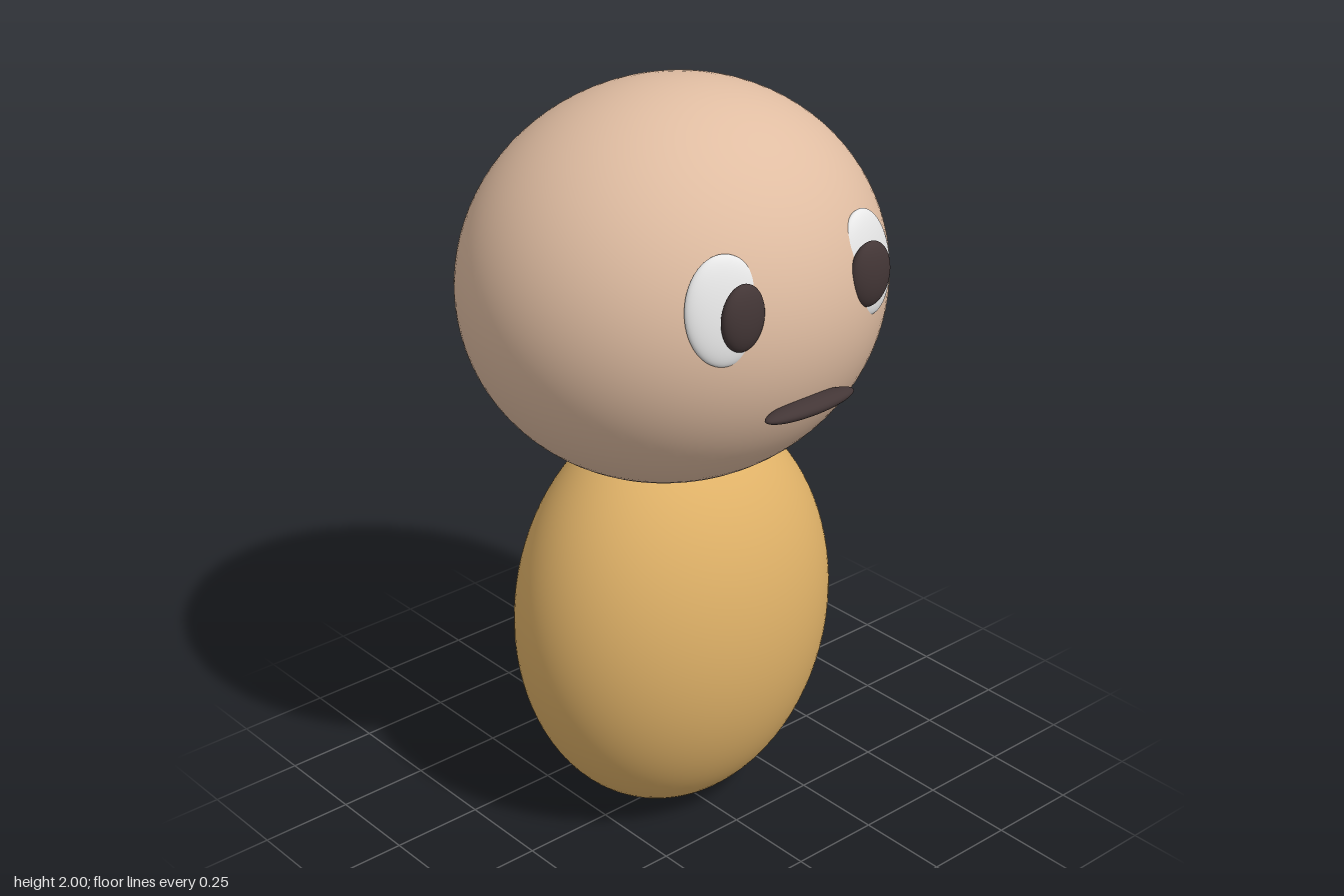
import * as THREE from 'three';

const paint = (name, color) => {
  const material = new THREE.MeshStandardMaterial({ color });
  material.name = name;
  return material;
};

export function createModel() {
  const skin = paint('skin', 0xe0bda2);
  const ochre = paint('ochre', 0xe0b268);
  const white = paint('eye white', 0xe8e8e8);
  const dark = paint('dark brown', 0x433636);

  const model = new THREE.Group();
  model.name = 'figure';

  // Smooth ellipsoid from centre, radii and tilt
  const ellipsoid = (name, material, centre, radii, tilt = [0, 0, 0], detail = 32) => {
    const mesh = new THREE.Mesh(new THREE.SphereGeometry(1, detail * 2, detail), material);
    mesh.name = name;
    mesh.position.set(...centre);
    mesh.scale.set(...radii);
    mesh.rotation.set(...tilt);
    model.add(mesh);
  };

  ellipsoid('body', ochre, [0, 0.567, -0.007], [0.458, 0.565, 0.356], undefined, 48);
  ellipsoid('head', skin, [0, 1.493, -0.007], [0.56, 0.507, 0.512], undefined, 48);

  // Eyes follow the curve of the head: turned outward and leaning back
  for (const [side, s] of [['left', 1], ['right', -1]]) {
    ellipsoid(`${side}EyeWhite`, white, [s * 0.229, 1.605, 0.43], [0.1, 0.132, 0.029],
      [-0.19, s * 0.24, s * 0.1]);
    ellipsoid(`${side}Pupil`, dark, [s * 0.205, 1.593, 0.47], [0.063, 0.083, 0.029]);
  }

  ellipsoid('mouth', dark, [0, 1.316, 0.487], [0.143, 0.021, 0.036]);

  return model;
}
